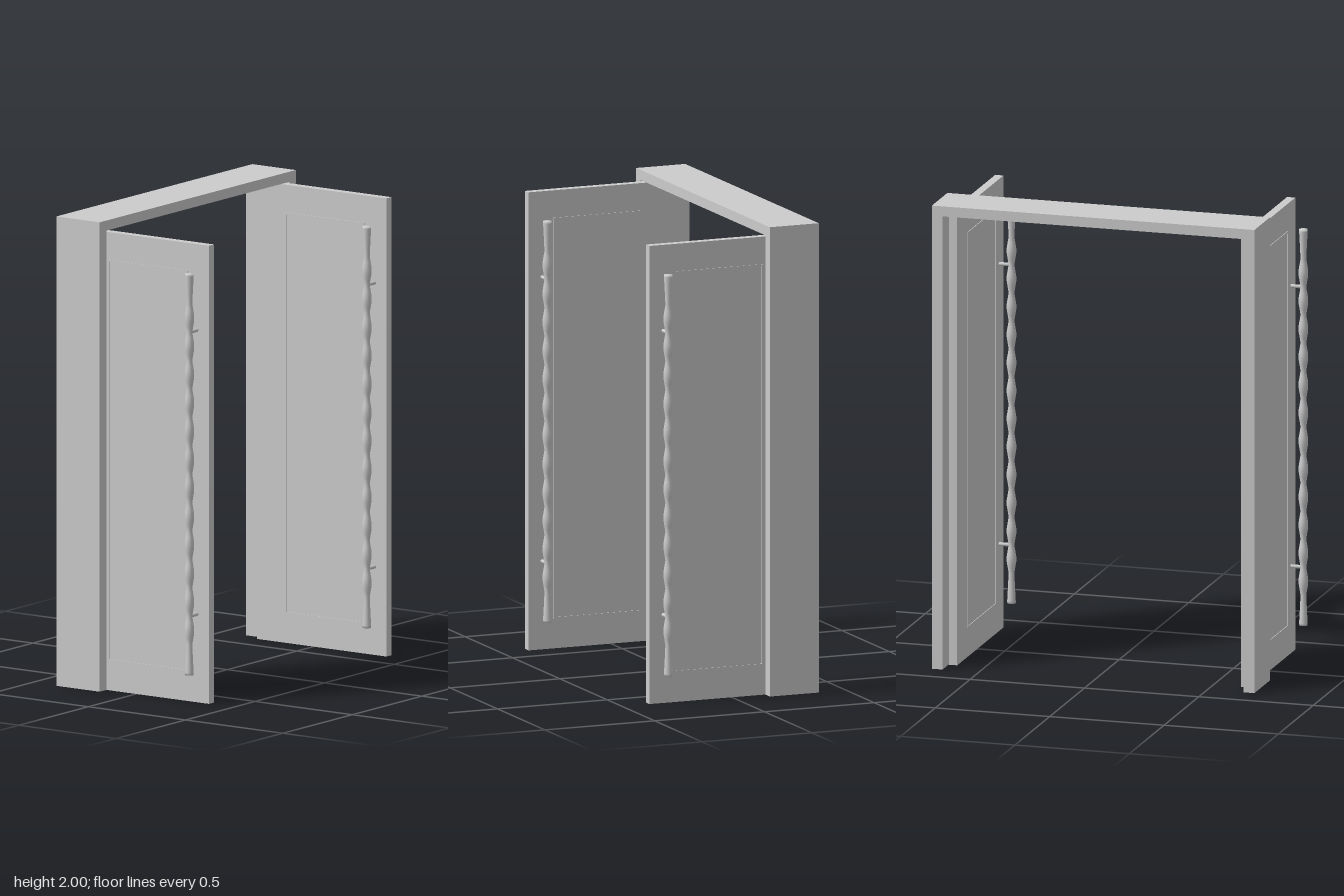
import * as THREE from 'three';

const mat = new THREE.MeshStandardMaterial({ color: 0xcccccc });

function add(parent, name, geometry, x = 0, y = 0, z = 0) {
  const mesh = new THREE.Mesh(geometry, mat);
  mesh.name = name;
  mesh.position.set(x, y, z);
  parent.add(mesh);
  return mesh;
}

const box = (w, h, d) => new THREE.BoxGeometry(w, h, d);

// Pull handle profile: flared ends joined by a chain of equal bulges
function handleGeometry() {
  const bottom = 0.125, top = 1.835, neck = 0.255, period = 0.121, count = 12;
  const pts = [[0, bottom], [0.018, bottom], [0.018, bottom + 0.01], [0.015, 0.19]];
  for (let i = 0; i < count; i++) {
    const y = neck + i * period;
    pts.push([0.012, y], [0.016, y + period * 0.2], [0.02, y + period * 0.4],
      [0.02, y + period * 0.6], [0.016, y + period * 0.8]);
  }
  pts.push([0.012, neck + count * period], [0.015, 1.77], [0.018, top - 0.01], [0.018, top], [0, top]);
  return new THREE.LatheGeometry(pts.map(([r, y]) => new THREE.Vector2(r, y)), 14);
}

function createDoor(side) {
  const door = new THREE.Group();
  door.name = side > 0 ? 'leftDoor' : 'rightDoor';
  const cx = 0.638, thick = 0.036, z0 = -0.29, z1 = 0.375;
  add(door, 'doorLeaf', box(thick, 1.952, z1 - z0), 0, 0.976, (z0 + z1) / 2);

  // Thin moulding rectangle on each face
  const a = -0.14, b = 0.26, lo = 0.125, hi = 1.835, w = 0.008;
  for (const face of [-1, 1]) {
    const x = face * (thick / 2 + 0.001);
    for (const z of [a, b]) add(door, 'mouldingUpright', box(0.004, hi - lo, w), x, (lo + hi) / 2, z);
    for (const y of [lo + w / 2, hi - w / 2]) add(door, 'mouldingRail', box(0.004, w, b - a - w), x, y, (a + b) / 2);
  }

  // Handles on both faces, held by two through-bolts
  const hz = 0.313, reach = 0.072;
  const handle = handleGeometry();
  for (const face of [-1, 1]) add(door, 'handle', handle, face * reach, 0, hz);
  const bolt = new THREE.CylinderGeometry(0.008, 0.008, reach * 2, 12);
  for (const y of [0.376, 1.586]) add(door, 'handleBolt', bolt, 0, y, hz).rotation.z = Math.PI / 2;

  door.position.x = side * cx;
  return door;
}

export function createModel() {
  const model = new THREE.Group();
  model.name = 'openDoubleDoor';

  // Door frame: an upside-down U extruded through the wall depth
  const o = 0.705, i = 0.658, t = 1.957;
  const outline = new THREE.Shape(
    [[-o, 0], [-i, 0], [-i, t], [i, t], [i, 0], [o, 0], [o, 2], [-o, 2]].map(([x, y]) => new THREE.Vector2(x, y)));
  const frame = new THREE.ExtrudeGeometry(outline, { depth: 0.223, bevelEnabled: false });
  add(model, 'doorFrame', frame, 0, 0, -0.375);

  for (const side of [-1, 1]) model.add(createDoor(side));
  return model;
}
